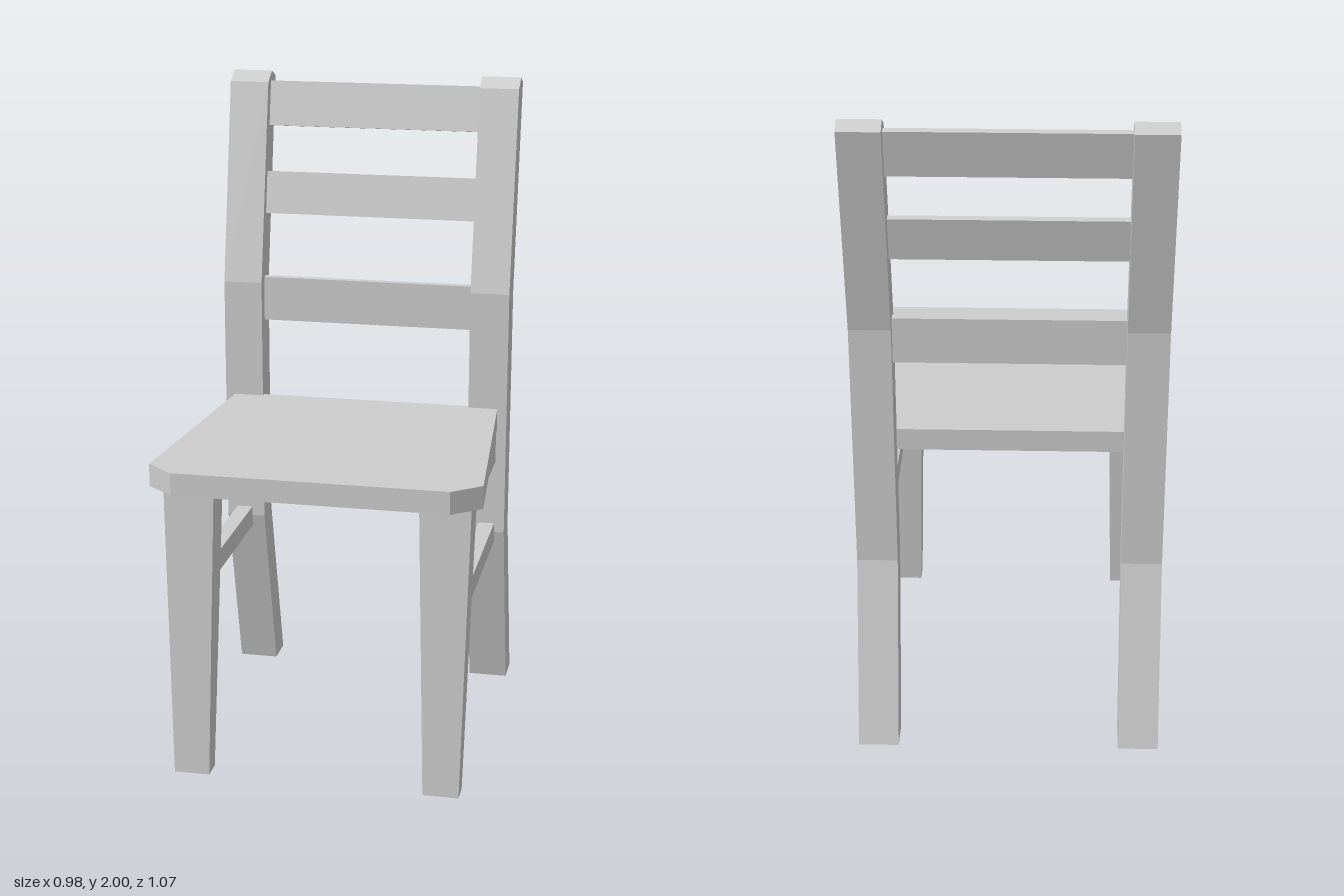
import * as THREE from 'three';

export function createModel() {
  const model = new THREE.Group();
  model.name = 'chair';
  const grey = new THREE.MeshStandardMaterial({ color: 0xcccccc });
  grey.name = 'plain grey';

  const add = (name, geometry) => {
    const mesh = new THREE.Mesh(geometry, grey);
    mesh.name = name;
    model.add(mesh);
    return mesh;
  };
  const box = (name, w, h, d, x, y, z) => {
    const mesh = add(name, new THREE.BoxGeometry(w, h, d));
    mesh.position.set(x, y, z);
    return mesh;
  };
  const extrude = (points, depth) => new THREE.ExtrudeGeometry(
    new THREE.Shape(points.map(([a, b]) => new THREE.Vector2(a, b))),
    { depth, bevelEnabled: false });

  // Seat: tapered towards the back, front corners cut off
  const seat = extrude([
    [-0.426, 0.305], [-0.49, -0.46], [-0.406, -0.53],
    [0.406, -0.53], [0.49, -0.46], [0.426, 0.305],
  ], 0.068);
  seat.rotateX(-Math.PI / 2);
  add('seat', seat).position.y = 0.91;

  // Side outline of a back post as [z, y]
  const postOutline = [
    [-0.435, 0], [-0.29, 0.565], [-0.29, 1.35], [-0.41, 1.97], [-0.46, 2],
    [-0.505, 1.98], [-0.385, 1.34], [-0.385, 0.572], [-0.535, 0],
  ].map(([z, y]) => [-z, y]);

  for (const [side, s] of [['left', 1], ['right', -1]]) {
    // Bent back post, leg and upright in one piece
    const post = extrude(postOutline, 0.122);
    post.translate(0, 0, -0.061);
    post.rotateY(Math.PI / 2);
    add(side + 'BackPost', post).position.x = s * 0.396;

    // Front leg, tapered and splayed forward at the foot
    const leg = new THREE.BoxGeometry(1, 0.91, 1);
    const p = leg.attributes.position;
    for (let i = 0; i < p.count; i++) {
      const top = p.getY(i) > 0;
      const outer = p.getX(i) * s > 0;
      const front = p.getZ(i) > 0;
      const x = outer ? (top ? 0.455 : 0.435) : (top ? 0.303 : 0.327);
      const z = front ? (top ? 0.44 : 0.466) : (top ? 0.335 : 0.402);
      p.setXYZ(i, s * x, top ? 0.91 : 0, z);
    }
    leg.computeVertexNormals();
    add(side + 'FrontLeg', leg);

    // Rails between the front leg and the back post
    box(side + 'Apron', 0.05, 0.11, 0.65, s * 0.4, 0.857, 0.03);
    box(side + 'Stretcher', 0.05, 0.065, 0.68, s * 0.4, 0.562, 0.035);
  }

  // Back slats, the upper two lean with the posts
  for (const [name, y, z, h, d, tilt] of [
    ['topSlat', 1.9, -0.4425, 0.14, 0.02, -0.187],
    ['middleSlat', 1.626, -0.3825, 0.133, 0.02, -0.187],
    ['lowerSlat', 1.292, -0.339, 0.14, 0.025, 0],
  ]) box(name, 0.68, h, d, 0, y, z).rotation.x = tilt;

  return model;
}
